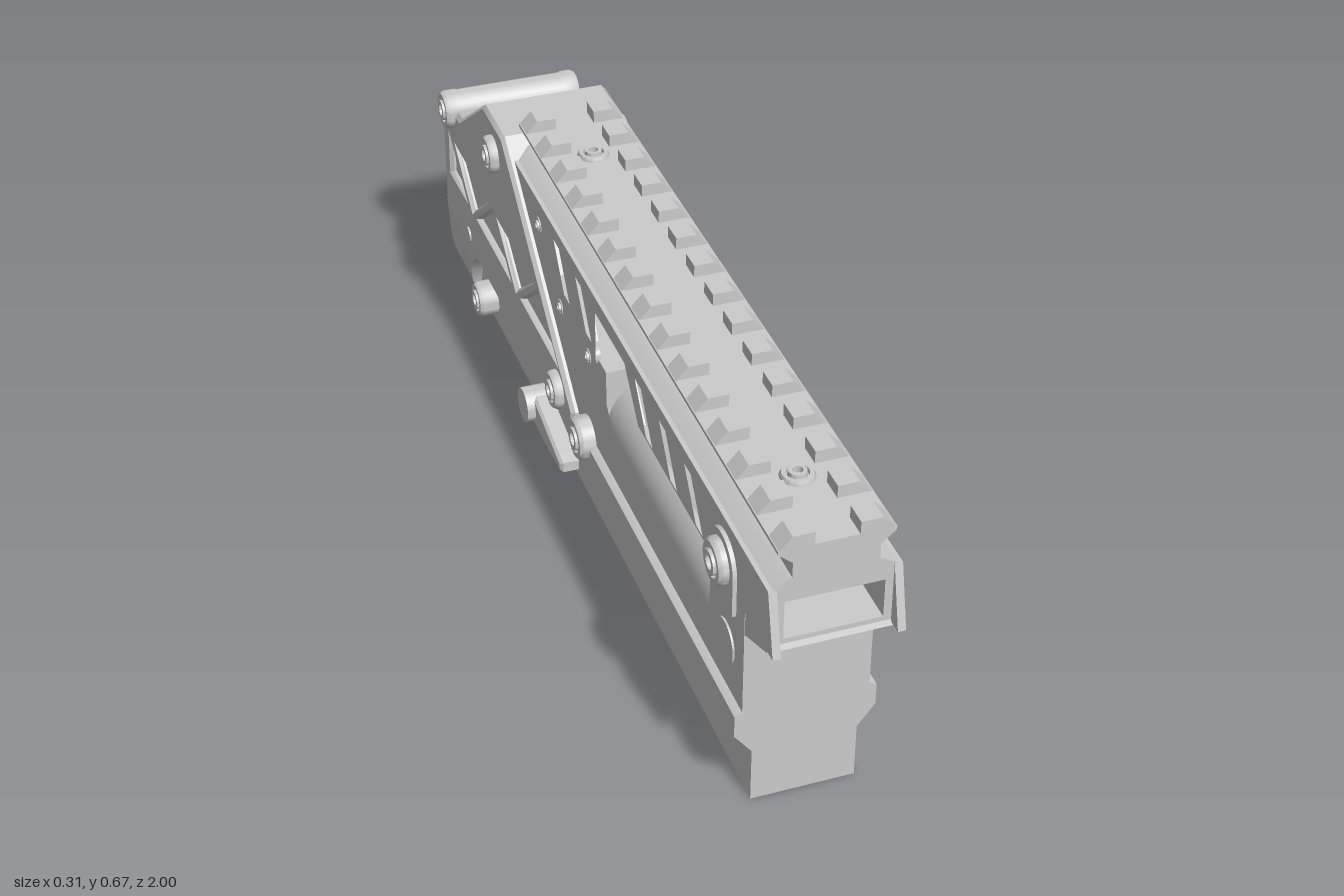
import * as THREE from 'three';
import { toCreasedNormals } from 'three/addons/utils/BufferGeometryUtils.js';

const material = new THREE.MeshStandardMaterial({ color: 0xcccccc });

export function createModel() {
  const model = new THREE.Group();

  const add = (name, geometry) => {
    const mesh = new THREE.Mesh(toCreasedNormals(geometry, 0.6), material);
    mesh.name = name;
    model.add(mesh);
    return mesh;
  };
  const outline = (points, holes = []) => {
    const toV = (list) => list.map(([a, b]) => new THREE.Vector2(a, b));
    const shape = new THREE.Shape(toV(points));
    shape.holes = holes.map((h) => new THREE.Path(toV(h)));
    return shape;
  };
  // Side profile drawn in (z, y), extruded from x0 to x1
  const sideExtrude = (shape, x0, x1, bevel = 0) => {
    const g = new THREE.ExtrudeGeometry(shape, {
      depth: x1 - x0 - 2 * bevel, bevelEnabled: bevel > 0, bevelSize: bevel,
      bevelThickness: bevel, bevelOffset: -bevel, bevelSegments: 1, curveSegments: 16,
    });
    return g.rotateY(-Math.PI / 2).translate(x1 - bevel, 0, 0);
  };
  // The same profile on both sides of the model
  const sidePair = (name, shape, x0, x1, bevel) => {
    add('left' + name, sideExtrude(shape, x0, x1, bevel));
    add('right' + name, sideExtrude(shape, -x1, -x0, bevel));
  };
  // Cross-section drawn in (x, y), extruded from z0 to z1
  const longExtrude = (shape, z0, z1) =>
    new THREE.ExtrudeGeometry(shape, { depth: z1 - z0, bevelEnabled: false }).translate(0, 0, z0);
  // Mirrors the +x half of a cross-section
  const mirrored = (half) => outline([...half, ...half.map(([x, y]) => [-x, y]).reverse()]);
  const boltHead = (r, h) => new THREE.LatheGeometry([
    [r, 0], [r, h - 0.012], [r * 0.88, h - 0.004], [r * 0.66, h - 0.004], [r * 0.62, h - 0.012],
    [r * 0.55, h - 0.012], [r * 0.52, h], [r * 0.3, h], [r * 0.3, h - 0.02], [0, h - 0.02],
  ].map(([x, y]) => new THREE.Vector2(x, y)), 28);

  // Lower body with narrow base
  add('lowerBody', longExtrude(mirrored([
    [0.1, 0], [0.1, 0.115], [0.134, 0.16], [0.134, 0.205], [0.12, 0.213],
  ]), -0.995, 0.87));

  // Flared rear foot, narrowing toward the ground
  const foot = sideExtrude(outline([
    [-0.72, 0.17], [-0.77, 0.15], [-0.81, 0.115], [-0.835, 0.08], [-0.85, 0.04], [-0.86, 0],
    [-1, 0], [-1, 0.04], [-1, 0.08], [-1, 0.17],
  ]), -0.134, 0.134);
  const p = foot.attributes.position;
  for (let i = 0; i < p.count; i++) {
    const y = p.getY(i);
    const w = y < 0.08 ? THREE.MathUtils.lerp(0.105, 0.128, Math.sqrt(y / 0.08))
      : THREE.MathUtils.mapLinear(y, 0.08, 0.17, 0.128, 0.134);
    p.setX(i, Math.sign(p.getX(i)) * w);
  }
  foot.computeVertexNormals();
  add('rearFoot', foot);

  // Rear housing with triangular truss recesses
  const rear = [
    [-0.06, 0.16], [-0.06, 0.215], [-0.47, 0.56], [-0.52, 0.6], [-0.66, 0.6],
    [-0.86, 0.455], [-1, 0.45], [-1, 0.16],
  ];
  const trusses = [];
  for (let i = 0; i < 4; i++) {
    const z = -0.28 - i * 0.165;
    const [base, tip] = i % 2 ? [0.368, 0.272] : [0.272, 0.368];
    trusses.push([[z + 0.125, base], [z, tip], [z - 0.125, base]]);
  }
  trusses.push([[-0.82, 0.272], [-0.95, 0.272], [-0.95, 0.368]]);
  add('rearCore', sideExtrude(outline(rear), -0.122, 0.122));
  sidePair('TrussPlate', outline(rear, trusses), 0.113, 0.135, 0.008);

  // Panel on the sloping rear top
  add('rearPanel', new THREE.BoxGeometry(0.16, 0.012, 0.133)).position.set(0, 0.519, -0.775);
  model.children.at(-1).rotation.x = -0.627;

  // Cross bar at the rear
  add('rearBar', new THREE.CylinderGeometry(0.04, 0.04, 0.27, 28).rotateZ(Math.PI / 2))
    .position.set(0, 0.445, -0.93);

  // Side plates with the long window and slanted slots
  const slot = (z) => [[z, 0.445], [z - 0.035, 0.445], [z - 0.1, 0.535], [z - 0.065, 0.535]];
  const openings = [0.66, 0.525, 0.39, 0.03, -0.11].map(slot);
  openings.push([[0.7, 0.44], [0.7, 0.31], [0.17, 0.31], [0.11, 0.37], [0.055, 0.42],
    [0.055, 0.53], [0.23, 0.53], [0.31, 0.44]]);
  sidePair('SidePlate', outline([
    [0.97, 0.565], [1, 0.44], [0.87, 0.44], [0.87, 0.2], [-0.5, 0.2], [-0.5, 0.565],
  ], openings), 0.105, 0.12);

  // Filling between the plates
  add('frontBlock', new THREE.BoxGeometry(0.239, 0.21, 0.17)).position.set(0, 0.3, 0.785);
  add('middleBlock', new THREE.BoxGeometry(0.211, 0.2, 0.55)).position.set(0, 0.3, -0.2);
  add('lowerTube', new THREE.CylinderGeometry(0.104, 0.104, 0.8, 36).rotateX(Math.PI / 2))
    .position.set(0, 0.27, 0.31);
  add('tubeCollar', new THREE.CylinderGeometry(0.104, 0.12, 0.05, 36).rotateX(-Math.PI / 2))
    .position.set(0, 0.27, 0.685);
  add('innerBarrel', new THREE.CylinderGeometry(0.037, 0.037, 0.85, 28).rotateX(Math.PI / 2))
    .position.set(0, 0.5, -0.055);

  // Nose with a rectangular opening and a sloping underside
  add('noseFrame', longExtrude(outline(
    [[-0.118, 0.435], [0.118, 0.435], [0.118, 0.56], [-0.118, 0.56]],
    [[[-0.09, 0.455], [0.09, 0.455], [0.09, 0.535], [-0.09, 0.535]]],
  ), 0.72, 0.97));
  add('noseUnderside', sideExtrude(outline([
    [0.975, 0.435], [0.87, 0.39], [0.7, 0.39], [0.7, 0.445], [0.97, 0.445],
  ]), -0.119, 0.119));

  // Chamfered roof
  add('roof', longExtrude(mirrored([
    [0.119, 0.54], [0.119, 0.56], [0.085, 0.582], [0.075, 0.585],
  ]), -0.5, 0.97));

  // Top rail with cross teeth
  add('railBase', longExtrude(mirrored([
    [0.078, 0.575], [0.078, 0.615], [0.105, 0.638], [0.105, 0.645],
  ]), -0.485, 0.97));
  for (let i = 0; i < 15; i++) {
    const z = 0.97 - i * 0.1007;
    for (const s of [-1, 1]) {
      add('railTooth', longExtrude(outline([
        [s * 0.04, 0.643], [s * 0.105, 0.643], [s * 0.08, 0.67], [s * 0.04, 0.67],
      ]), z - 0.046, z));
    }
  }
  for (const z of [0.79, -0.32]) add('railScrew', boltHead(0.032, 0.02)).position.set(0, 0.637, z);

  // Rounded front mounting tabs
  const tab = outline([[0.71, 0.4], [0.83, 0.4], [0.83, 0.48]]);
  tab.absarc(0.77, 0.48, 0.06, 0, Math.PI, false);
  sidePair('MountTab', tab, 0.115, 0.128);

  // Bolts, small screws and flat pins: z, y, radius, inner x, outer x
  const bolts = [
    [0.77, 0.48, 0.045, 0.118, 0.15], [0.01, 0.207, 0.045, 0.11, 0.157],
    [-0.15, 0.217, 0.041, 0.12, 0.157], [-0.58, 0.527, 0.041, 0.12, 0.157],
    [-0.75, 0.055, 0.04, 0.09, 0.146], [-0.93, 0.445, 0.042, 0.12, 0.157],
    [0.01, 0.4, 0.018, 0.1, 0.126], [-0.17, 0.4, 0.018, 0.1, 0.126],
    [-0.31, 0.51, 0.019, 0.1, 0.126],
  ];
  const pins = [[0.785, 0.31, 0.043, 0.11, 0.124], [-0.81, 0.19, 0.017, 0.12, 0.139]];
  for (const s of [-1, 1]) {
    for (const [z, y, r, x0, x1] of bolts) {
      const bolt = add('bolt', boltHead(r, x1 - x0));
      bolt.position.set(s * x0, y, z);
      bolt.rotation.z = -s * Math.PI / 2;
    }
    for (const [z, y, r, x0, x1] of pins) {
      add('pin', new THREE.CylinderGeometry(r, r, x1 - x0, 28).rotateZ(Math.PI / 2))
        .position.set(s * (x0 + x1) / 2, y, z);
    }
    // Lever pivot
    add('leverPivot', new THREE.CylinderGeometry(0.038, 0.038, 0.067, 28).rotateZ(Math.PI / 2))
      .position.set(s * 0.1235, 0.05, -0.34);
  }

  // Tapering lever arms
  sidePair('LeverArm', outline([
    [-0.13, 0.04], [-0.13, 0.017], [-0.24, 0.01], [-0.34, 0.013], [-0.34, 0.085], [-0.3, 0.078],
  ]), 0.095, 0.14, 0.006);

  return model;
}
